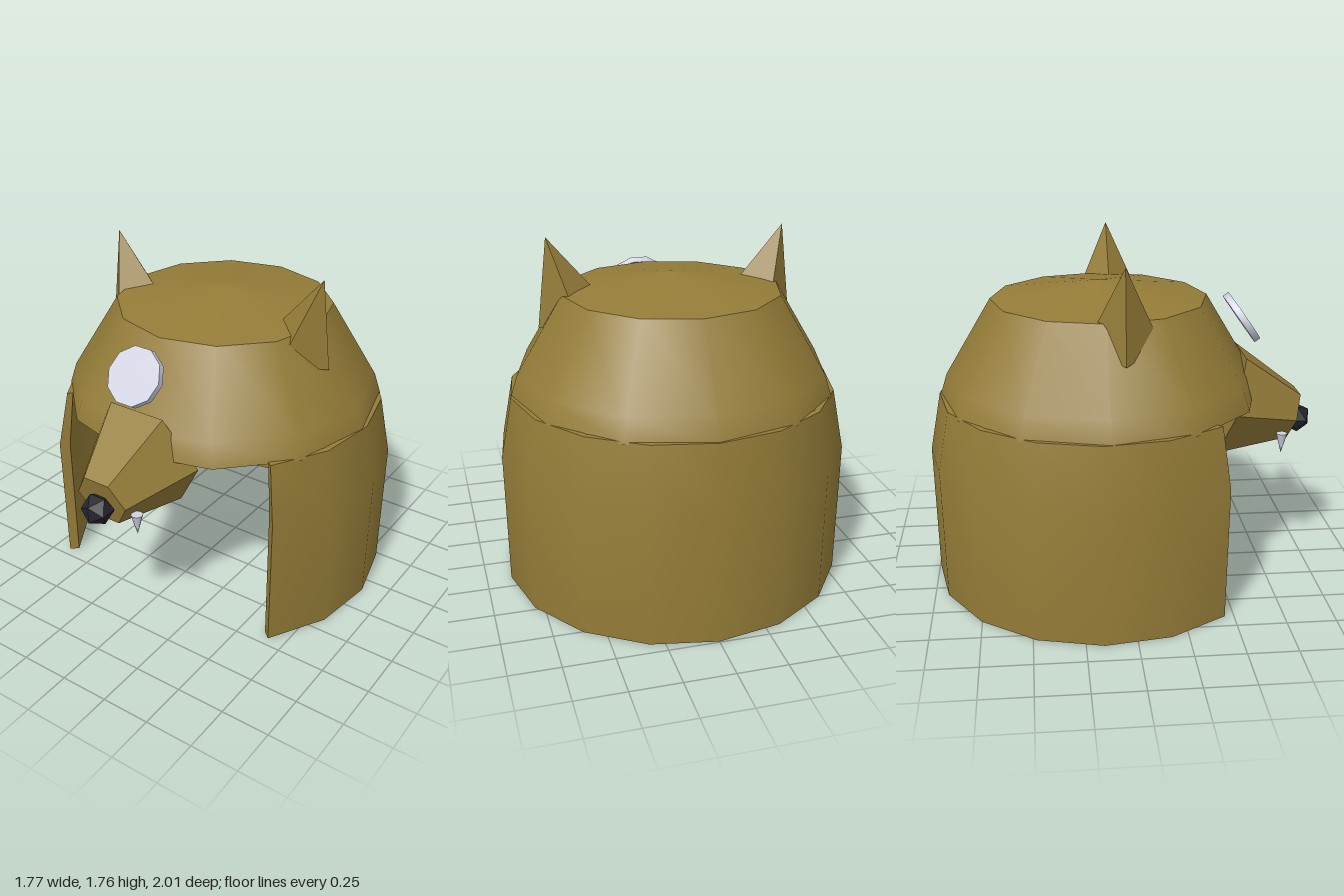
import * as THREE from 'three';
import { toCreasedNormals } from 'three/addons/utils/BufferGeometryUtils.js';

const rad = THREE.MathUtils.degToRad;
const AXIS_Z = -0.12; // vertical axis of the helmet body

export function createModel() {
  const model = new THREE.Group();
  model.name = 'animalHeadHelmet';

  const fur = new THREE.MeshStandardMaterial({ color: 0x947c38, side: THREE.DoubleSide });
  fur.name = 'golden brown';
  const silver = new THREE.MeshStandardMaterial({ color: 0xd0d3e0 });
  silver.name = 'silver';
  const black = new THREE.MeshStandardMaterial({ color: 0x24262e });
  black.name = 'black';

  const add = (name, geometry, material, x = 0, y = 0, z = 0) => {
    const mesh = new THREE.Mesh(geometry, material);
    mesh.name = name;
    mesh.position.set(x, y, z);
    model.add(mesh);
    return mesh;
  };
  const faceted = (geometry) => toCreasedNormals(geometry, 0.1);
  const points = (list) => list.map(([x, y]) => new THREE.Vector2(x, y));

  // Dome: smooth twelve-sided side with a shallow cap
  const domeSide = points([[0.82, 0.99], [0.785, 1.1], [0.55, 1.49]]);
  add('domeSide', new THREE.LatheGeometry(domeSide, 12), fur, 0, 0, AXIS_Z);
  const domeTop = points([[0.55, 1.49], [0, 1.575]]);
  add('domeTop', new THREE.LatheGeometry(domeTop, 12), fur, 0, 0, AXIS_Z);

  // Neck guard: thick curved wall, open at the front
  const wall = points([
    [0.875, 0], [0.885, 0.69], [0.825, 1.0],
    [0.795, 1.0], [0.83, 0.69], [0.825, 0],
  ]);
  const start = rad(49);
  const guard = new THREE.LatheGeometry([...wall, wall[0]], 12, start, Math.PI * 2 - start * 2);
  add('neckGuard', toCreasedNormals(guard, rad(35)), fur, 0, 0, AXIS_Z);
  for (const phi of [start, -start]) {
    const end = add('neckGuardEnd', new THREE.ShapeGeometry(new THREE.Shape(wall)), fur, 0, 0, AXIS_Z);
    end.rotation.y = phi - Math.PI / 2;
  }

  // Muzzle: tapered hexagonal block tilted down
  const muzzle = new THREE.CylinderGeometry(0.142, 0.305, 0.363, 6);
  muzzle.rotateY(rad(30)).rotateX(rad(105));
  add('muzzle', faceted(muzzle), fur, 0, 0.882, 0.727);

  add('nose', new THREE.IcosahedronGeometry(0.08, 0), black, 0, 0.805, 0.932);

  // Forehead disc, floating ahead of the dome
  const disc = new THREE.CylinderGeometry(0.145, 0.145, 0.035, 10);
  disc.rotateY(rad(18)).rotateX(rad(55));
  add('foreheadDisc', toCreasedNormals(disc, rad(40)), silver, 0, 1.363, 0.617);

  // Mirrored ears and fangs
  for (const side of [-1, 1]) {
    const ear = add('ear', faceted(new THREE.ConeGeometry(0.18, 0.415, 4)), fur, side * 0.544, 1.562, -0.04);
    ear.rotation.z = -side * rad(17);

    const fang = new THREE.ConeGeometry(0.03, 0.11, 8).rotateX(Math.PI);
    add('fang', fang, silver, side * 0.146, 0.715, 0.825);
  }

  return model;
}
